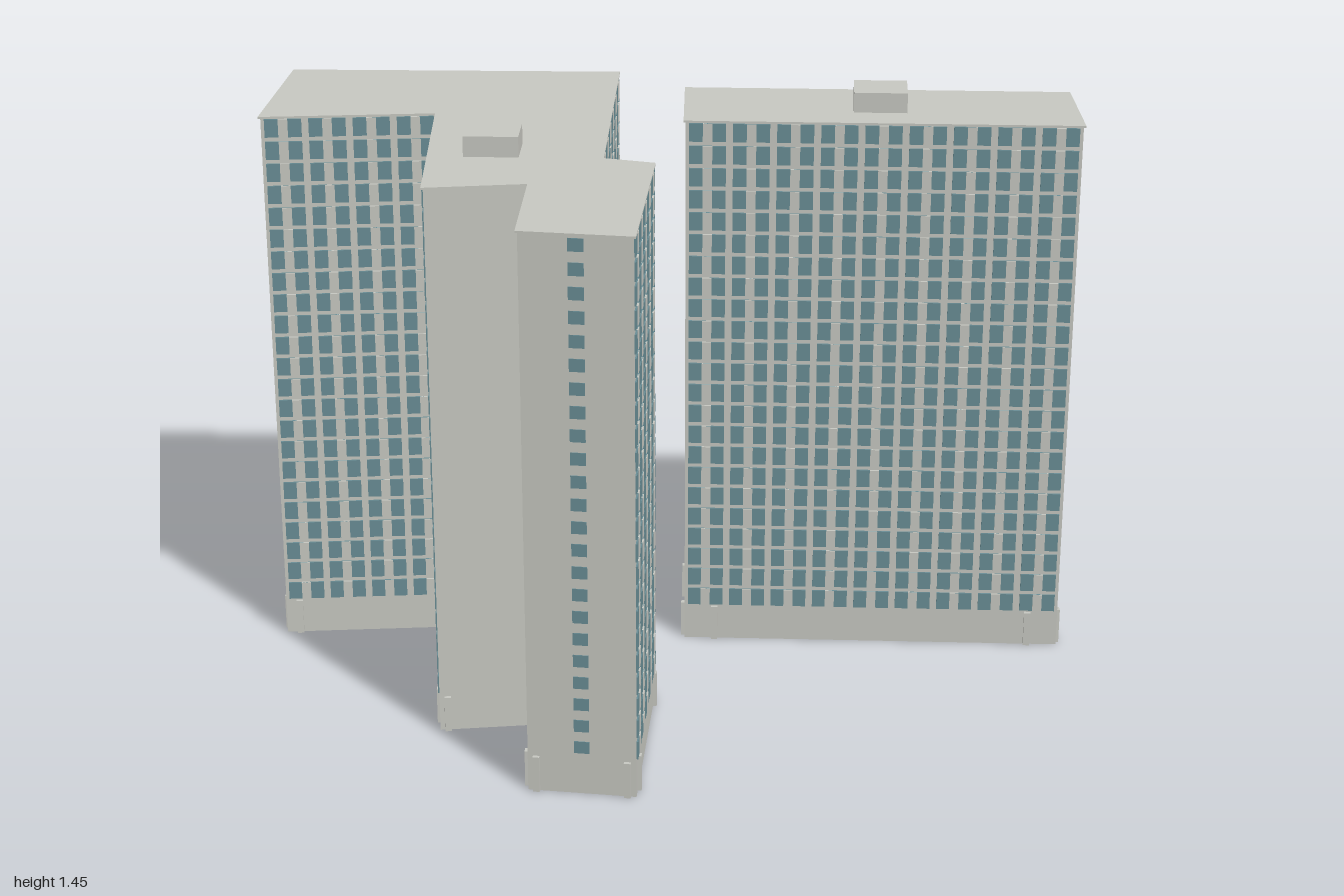
import * as THREE from 'three';
import { mergeGeometries } from 'three/addons/utils/BufferGeometryUtils.js';

const HEIGHT = 1.4, ROWS = 23, ROW_START = 0.12, ROW_STEP = 0.0568;

const material = (name, color) => {
  const m = new THREE.MeshStandardMaterial({ color });
  m.name = name;
  return m;
};

// Each footprint corner: x, z, then what lies on the wall to the next corner:
// a number of window bays, 'slot' for one column of small windows, or 0 for blank.
const wingTower = [
  [-0.957, -0.608, 8], [-0.139, -0.602, 6], [-0.155, 0.08, 0], [-0.034, 0.112, 5],
  [-0.066, 0.602, 'slot'], [-0.322, 0.57, 0], [-0.312, 0.257, 0], [-0.553, 0.288, 5],
  [-0.567, -0.262, 4], [-0.993, -0.226, 0],
];
const slabTower = [
  [0.037, -0.474, 9], [0.982, -0.449, 'slot'], [0.993, -0.188, 9], [0.037, -0.214, 0],
];

// Prism over a footprint
function prism(corners, y, height) {
  const shape = new THREE.Shape(corners.map(([x, z]) => new THREE.Vector2(x, -z)));
  const g = new THREE.ExtrudeGeometry(shape, { depth: height, bevelEnabled: false });
  return g.rotateX(-Math.PI / 2).translate(0, y, 0);
}

// Footprint pushed outward for the roof edge
function widen(corners, d) {
  const n = corners.length;
  const normal = (i) => {
    const a = corners[(i + n) % n], b = corners[(i + 1) % n];
    return new THREE.Vector2(b[1] - a[1], a[0] - b[0]).normalize();
  };
  return corners.map(([x, z], i) => {
    const p = normal(i - 1 + n), q = normal(i);
    const s = d / (1 + p.dot(q));
    return [x + (p.x + q.x) * s, z + (p.y + q.y) * s];
  });
}

function tower(name, corners, hut, mats) {
  const group = new THREE.Group();
  group.name = name;
  const add = (part, geometry, mat) => {
    const mesh = new THREE.Mesh(geometry, mat);
    mesh.name = part;
    group.add(mesh);
  };
  const glass = [], panels = [], piers = [];

  corners.forEach(([x, z, kind], i) => {
    const [x2, z2] = corners[(i + 1) % corners.length];
    const length = Math.hypot(x2 - x, z2 - z);
    const turn = Math.atan2(z2 - z, x - x2);
    // Box standing out from this wall, at fraction t along it
    const onWall = (list, t, y, w, h, out) => {
      const g = new THREE.BoxGeometry(w, h, out);
      g.translate(0, 0, out / 2).rotateY(turn);
      list.push(g.translate(x + (x2 - x) * t, y, z + (z2 - z) * t));
    };

    // Base piers near both ends of every wall
    for (const t of [0.08, 0.92]) onWall(piers, t, 0.046, 0.016, 0.092, 0.009);

    for (let row = 0; row < ROWS; row++) {
      const y = ROW_START + row * ROW_STEP;
      if (kind === 'slot') onWall(glass, 0.5, y + 0.003, 0.036, 0.031, 0.002);
      else for (let b = 0; b < kind; b++) {
        const t = (b + 0.5) / kind, w = length / kind * 0.84;
        onWall(glass, t, y, w, 0.046, 0.004);
        onWall(panels, t, y, w * 0.26, 0.046, 0.006);
      }
    }
  });

  add('walls', prism(corners, 0, HEIGHT - 0.005), mats.wall);
  add('roofEdge', prism(widen(corners, 0.005), HEIGHT - 0.005, 0.005), mats.wall);
  add('windows', mergeGeometries(glass), mats.glass);
  add('bayPanels', mergeGeometries(panels), mats.wall);
  add('basePiers', mergeGeometries(piers), mats.wall);

  // Rooftop machine room
  const room = new THREE.BoxGeometry(0.13, 0.05, 0.104);
  add('roofRoom', room.rotateY(-0.03).translate(hut[0], HEIGHT + 0.025, hut[1]), mats.wall);
  return group;
}

export function createModel() {
  const mats = {
    wall: material('concrete', 0xc8c9c2),
    glass: material('window glass', 0x6a8e96),
  };
  const model = new THREE.Group();
  model.name = 'apartmentTowers';
  model.add(tower('wingTower', wingTower, [-0.412, 0.022], mats));
  model.add(tower('slabTower', slabTower, [0.511, -0.33], mats));
  return model;
}
